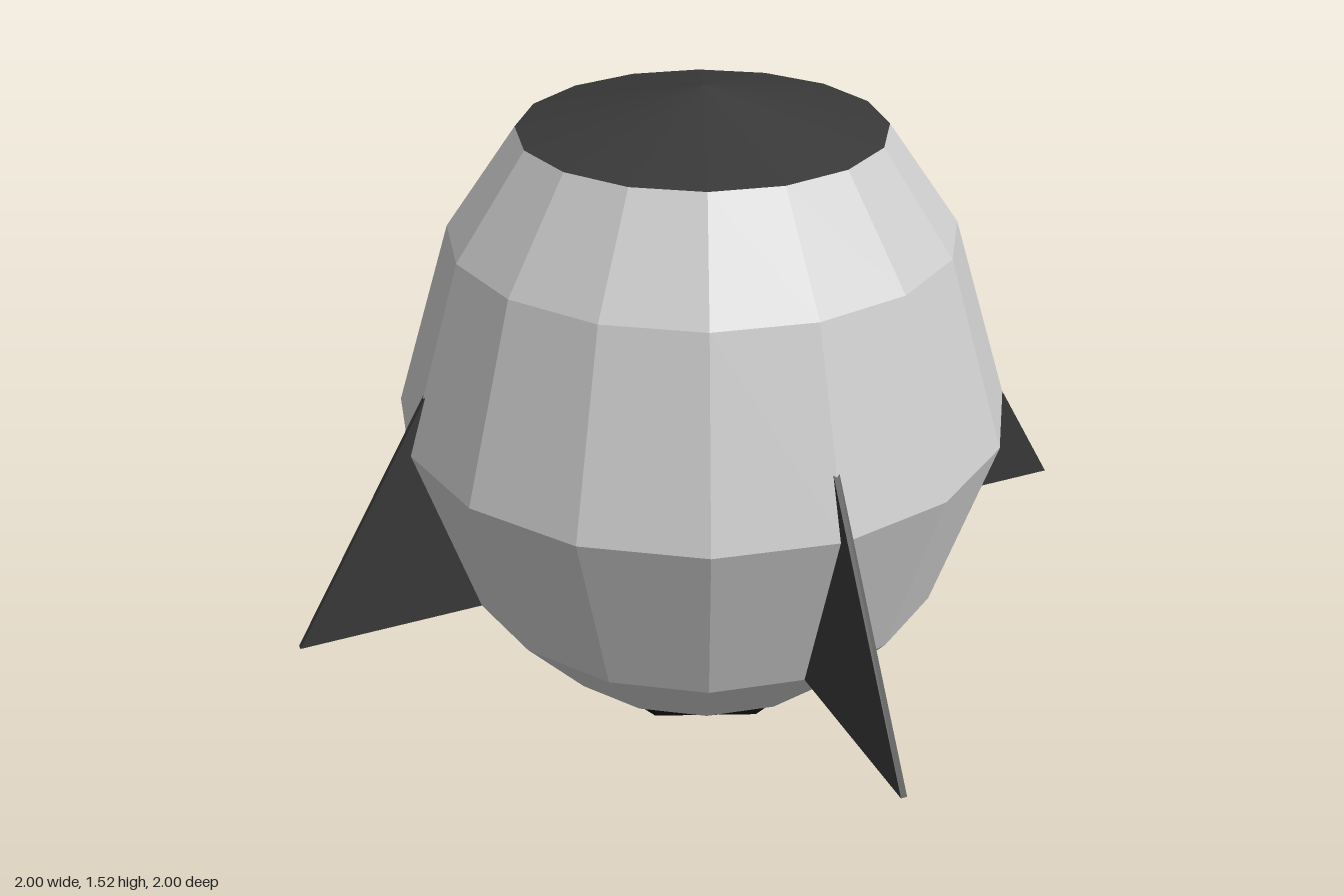
import * as THREE from 'three';

const material = (color, side = THREE.FrontSide) =>
  new THREE.MeshStandardMaterial({ color, side, flatShading: true });

// Faceted surface of revolution from [radius, height] pairs, bottom to top
function turned(name, profile, sides, mat) {
  const points = profile.map(([r, y]) => new THREE.Vector2(r, y));
  const mesh = new THREE.Mesh(new THREE.LatheGeometry(points, sides), mat);
  mesh.name = name;
  return mesh;
}

export function createModel() {
  const model = new THREE.Group();
  model.name = 'rocket';
  const grey = material(0xcccccc);
  const dark = material(0x393939);
  const black = material(0x0d0d0d, THREE.DoubleSide);

  // Barrel hull with a closed base
  model.add(turned('hull',
    [[0, 0.14], [0.41, 0.14], [0.573, 0.33], [0.71, 0.765], [0.573, 1.2], [0.41, 1.43]], 16, grey));

  // Shallow nose cone
  model.add(turned('noseCap', [[0.41, 1.43], [0, 1.52]], 16, dark));

  // Open nozzle shell, bevelled inwards at the bottom
  model.add(turned('nozzle', [[0.205, 0], [0.315, 0.05], [0.315, 0.14]], 8, black));

  // Four thin triangular fins, rooted inside the hull
  const thickness = 0.014;
  const outline = new THREE.Shape([
    new THREE.Vector2(0.5, 0.33),
    new THREE.Vector2(1, 0.33),
    new THREE.Vector2(0.608, 1.0),
  ]);
  const finGeometry = new THREE.ExtrudeGeometry(outline, { depth: thickness, bevelEnabled: false });
  finGeometry.translate(0, 0, -thickness / 2);
  ['leftFin', 'backFin', 'rightFin', 'frontFin'].forEach((name, i) => {
    const fin = new THREE.Mesh(finGeometry, dark);
    fin.name = name;
    fin.rotation.y = i * Math.PI / 2;
    model.add(fin);
  });

  return model;
}
